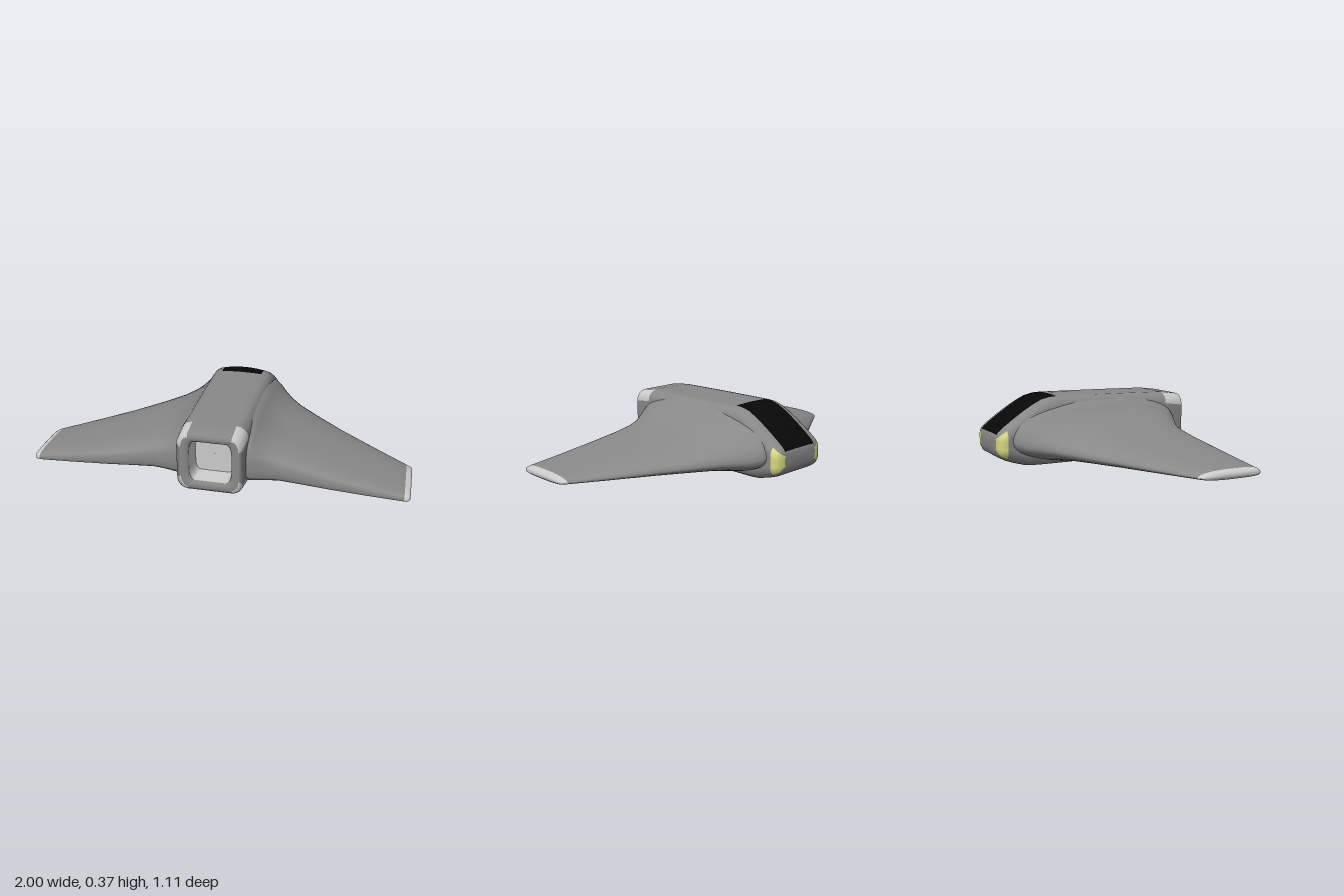
import * as THREE from 'three';

const mat = (color) => new THREE.MeshStandardMaterial({ color });
const HULL = mat(0x888888), TRIM = mat(0xcccccc), GLASS = mat(0x080808), LAMP = mat(0xd8d880);

// Loft closed rings of points; pick(i, j) names the part each quad belongs to
function loft(group, rings, pick, materials, flip = false) {
  const n = rings[0].length, lists = {};
  for (let i = 0; i < rings.length - 1; i++) {
    for (let j = 0; j < n; j++) {
      const k = (j + 1) % n;
      const a = i * n + j, b = i * n + k, c = (i + 1) * n + k, d = (i + 1) * n + j;
      (lists[pick(i, j)] ??= []).push(...(flip ? [a, c, b, a, d, c] : [a, b, c, a, c, d]));
    }
  }
  const base = new THREE.BufferGeometry();
  base.setAttribute('position', new THREE.Float32BufferAttribute(rings.flat(2), 3));
  base.setIndex(Object.values(lists).flat());
  base.computeVertexNormals(); // shared normals keep the parts seamless
  for (const name in lists) {
    const geo = base.clone();
    geo.setIndex(lists[name]);
    const mesh = new THREE.Mesh(geo, materials[name]);
    mesh.name = name;
    group.add(mesh);
  }
}

// Rounded rectangle ring: per corner 4 arc steps, then 6 steps along the next side
const ARC = 4, SIDE = 6, STEP = ARC + SIDE;
function bodyRing([z, hw, y0, y1, crown = 0]) {
  const flat = Math.min(0.115, hw * 0.75), rx = hw - flat;
  const ry = Math.min(0.06, (y1 - y0) * 0.3), cy = (y0 + y1) / 2, hy = (y1 - y0) / 2 - ry;
  const sx = [1, -1, -1, 1], sy = [1, 1, -1, -1];
  const corner = (k, t) => {
    const a = (k + t) * Math.PI / 2;
    return [sx[k] * flat + rx * Math.cos(a), cy + sy[k] * hy + ry * Math.sin(a), z];
  };
  const ring = [];
  for (let k = 0; k < 4; k++) {
    for (let i = 0; i <= ARC; i++) ring.push(corner(k, i / ARC));
    const p = corner(k, 1), q = corner((k + 1) % 4, 0);
    for (let i = 1; i < SIDE; i++) {
      const t = i / SIDE;
      const bulge = k === 0 ? crown * 4 * t * (1 - t) : 0;
      ring.push([p[0] + (q[0] - p[0]) * t, p[1] + (q[1] - p[1]) * t + bulge, z]);
    }
  }
  return ring;
}

// Fuselage stations from nose to tail: z, half width, bottom, top, canopy crown
const BODY = [
  [-0.558, 0.001, 0.135, 0.137],
  [-0.557, 0.12, 0.10, 0.165],
  [-0.552, 0.152, 0.08, 0.182, 0.002],
  [-0.542, 0.167, 0.062, 0.196, 0.005],
  [-0.53, 0.174, 0.054, 0.206, 0.007],
  [-0.51, 0.179, 0.044, 0.222, 0.01],
  [-0.46, 0.18, 0.026, 0.258, 0.012],
  [-0.40, 0.178, 0.01, 0.298, 0.012],
  [-0.35, 0.176, 0.005, 0.328, 0.012],
  [-0.30, 0.175, 0.004, 0.353, 0.012],
  [-0.25, 0.175, 0.004, 0.365, 0.01],
  [-0.21, 0.175, 0.004, 0.367, 0.004],
  [0.1, 0.175, 0.005, 0.364],
  [0.44, 0.176, 0.01, 0.358],
  [0.548, 0.172, 0.028, 0.344],
  [0.556, 0.15, 0.045, 0.328],
  [0.554, 0.12, 0.07, 0.308],
  [0.54, 0.11, 0.078, 0.3],
];

function bodyPart(i, j) {
  const r = j % STEP, k = Math.floor(j / STEP);
  if (i >= 1 && i <= 4) {
    if (j >= 3 * STEP + 2 || j < 2) return 'leftNoseLight';
    if (j >= STEP + 2 && j < 2 * STEP + 2) return 'rightNoseLight';
  }
  if (i >= 2 && i <= 10 && k === 0 && r >= ARC) return 'canopy';
  if (i >= 13 && i <= 14 && r < ARC) return 'tailCorners';
  return 'fuselage';
}

// Wing stations from root to tip: x, leading z, trailing z, bottom, top
const WING = [
  [0.12, -0.50, 0.49, 0.02, 0.352],
  [0.17, -0.49, 0.49, 0.016, 0.338],
  [0.20, -0.475, 0.487, 0.02, 0.306],
  [0.23, -0.44, 0.477, 0.024, 0.277],
  [0.28, -0.38, 0.46, 0.029, 0.245],
  [0.34, -0.32, 0.45, 0.033, 0.22],
  [0.45, -0.24, 0.456, 0.036, 0.188],
  [0.60, -0.13, 0.465, 0.037, 0.155],
  [0.80, 0.005, 0.47, 0.038, 0.117],
  [0.97, 0.12, 0.472, 0.039, 0.088],
  [0.99, 0.135, 0.468, 0.042, 0.083],
  [1.0, 0.15, 0.455, 0.05, 0.075],
  [1.0, 0.302, 0.302, 0.062, 0.062],
];

// Airfoil ring: tapering leading half, fuller trailing half
function wingRing([x, z0, z1, y0, y1], side) {
  const N = 40, cz = (z0 + z1) / 2, hz = (z1 - z0) / 2, cy = y0 + (y1 - y0) * 0.42;
  return Array.from({ length: N }, (_, j) => {
    const a = -j / N * Math.PI * 2, c = Math.cos(a), s = Math.sin(a);
    const e = 2 / (c > 0 ? 3.5 : 2.1);
    const pz = Math.sign(c) * Math.abs(c) ** e, py = Math.sign(s) * Math.abs(s) ** e;
    return [side * x, cy + py * (s > 0 ? y1 - cy : cy - y0), cz + pz * hz];
  });
}

export function createModel() {
  const model = new THREE.Group();
  model.name = 'flyingWingCraft';

  // Fuselage with canopy, nose lights and tail corner pieces
  const body = new THREE.Group();
  body.name = 'body';
  loft(body, BODY.map(bodyRing), bodyPart, {
    fuselage: HULL, canopy: GLASS, leftNoseLight: LAMP, rightNoseLight: LAMP, tailCorners: TRIM,
  });

  // Exhaust recess; the repeated station keeps the floor edge sharp
  const floor = [0.44, 0.102, 0.086, 0.292];
  loft(body, [[0.54, 0.11, 0.078, 0.3], floor, floor, [0.44, 0.001, 0.188, 0.19]].map(bodyRing),
    () => 'exhaustRecess', { exhaustRecess: TRIM });
  model.add(body);

  // Blended wings with pale tips
  for (const side of [1, -1]) {
    const wing = new THREE.Group();
    wing.name = side > 0 ? 'leftWing' : 'rightWing';
    loft(wing, WING.map((s) => wingRing(s, side)), (i) => (i >= 9 ? 'wingTip' : 'wingPanel'),
      { wingPanel: HULL, wingTip: TRIM }, side < 0);
    model.add(wing);
  }
  return model;
}
